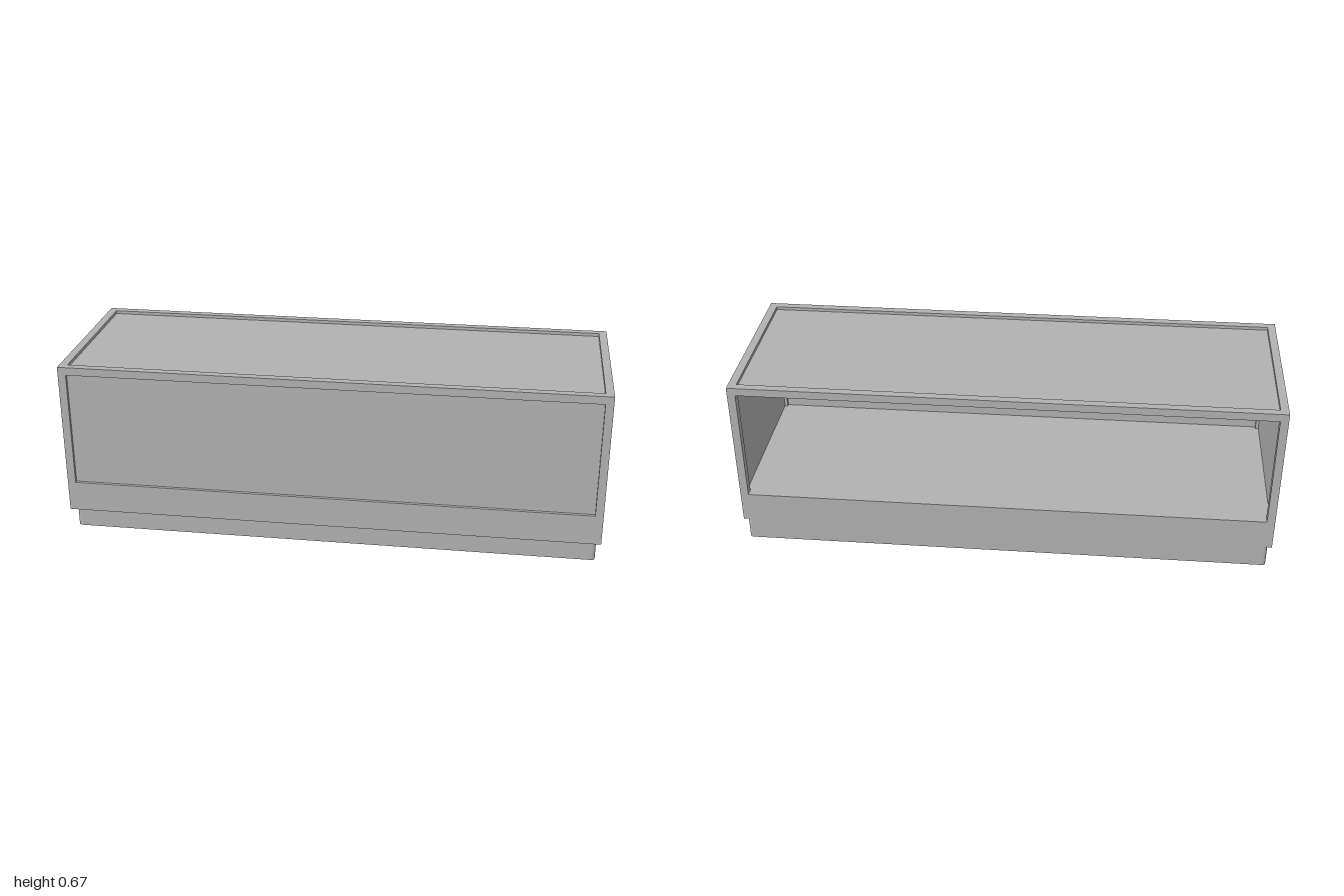
import * as THREE from 'three';

export function createModel() {
  const group = new THREE.Group();
  const grey = new THREE.MeshStandardMaterial({ color: 0xb2b2b2 });
  grey.name = 'grey';
  const greyShell = new THREE.MeshStandardMaterial({ color: 0xb2b2b2, side: THREE.DoubleSide });
  greyShell.name = 'grey shell';

  const X = 1, Z = 0.333, TOP = 0.667, DECK = 0.2, SKIRT = 0.085;
  const BAR = 0.03, PANE = 0.006;

  const box = (name, w, h, d, x, y, z) => {
    const mesh = new THREE.Mesh(new THREE.BoxGeometry(w, h, d), grey);
    mesh.name = name;
    mesh.position.set(x, y, z);
    group.add(mesh);
  };

  // Deck: solid band whose top is the display floor
  box('deck', 2 * X, DECK - SKIRT, 2 * Z, 0, (DECK + SKIRT) / 2, 0);

  // Frame: four posts and four top rails
  const bx = X - BAR / 2, bz = Z - BAR / 2, by = TOP - BAR / 2;
  const postH = TOP - BAR - DECK, midY = DECK + postH / 2;
  for (const s of [-1, 1]) {
    for (const t of [-1, 1]) box('cornerPost', BAR, postH, BAR, s * bx, midY, t * bz);
    box('longTopRail', 2 * X, BAR, BAR, 0, by, s * bz);
    box('shortTopRail', BAR, BAR, 2 * (Z - BAR), s * bx, by, 0);
  }

  // Thin panels held mid-frame; the back stays open
  const innerW = 2 * (X - BAR), innerD = 2 * (Z - BAR);
  box('topPanel', innerW, PANE, innerD, 0, by, 0);
  box('frontPanel', innerW, postH, PANE, 0, midY, bz);
  for (const s of [-1, 1]) box('sidePanel', PANE, postH, innerD, s * bx, midY, 0);

  // Plinth: hollow wall with rounded corners, set back at front and sides, flush at back
  const px = 0.985, z0 = -Z, z1 = 0.3, r = 0.014;
  const outline = new THREE.Shape();
  outline.moveTo(px, z0 + r);
  outline.lineTo(px, z1 - r);
  outline.absarc(px - r, z1 - r, r, 0, Math.PI / 2);
  outline.absarc(-px + r, z1 - r, r, Math.PI / 2, Math.PI);
  outline.absarc(-px + r, z0 + r, r, Math.PI, Math.PI * 1.5);
  outline.absarc(px - r, z0 + r, r, Math.PI * 1.5, Math.PI * 2);
  const pts = outline.getPoints(6);
  const pos = [], index = [];
  pts.forEach((p) => pos.push(p.x, 0, p.y, p.x, SKIRT, p.y));
  for (let i = 0; i < pts.length; i++) {
    const a = 2 * i, b = 2 * ((i + 1) % pts.length);
    index.push(a, a + 1, b, b, a + 1, b + 1);
  }
  const wall = new THREE.BufferGeometry();
  wall.setAttribute('position', new THREE.Float32BufferAttribute(pos, 3));
  wall.setIndex(index);
  const flatWall = wall.toNonIndexed();
  flatWall.computeVertexNormals();
  const plinth = new THREE.Mesh(flatWall, greyShell);
  plinth.name = 'plinth';
  group.add(plinth);

  return group;
}
